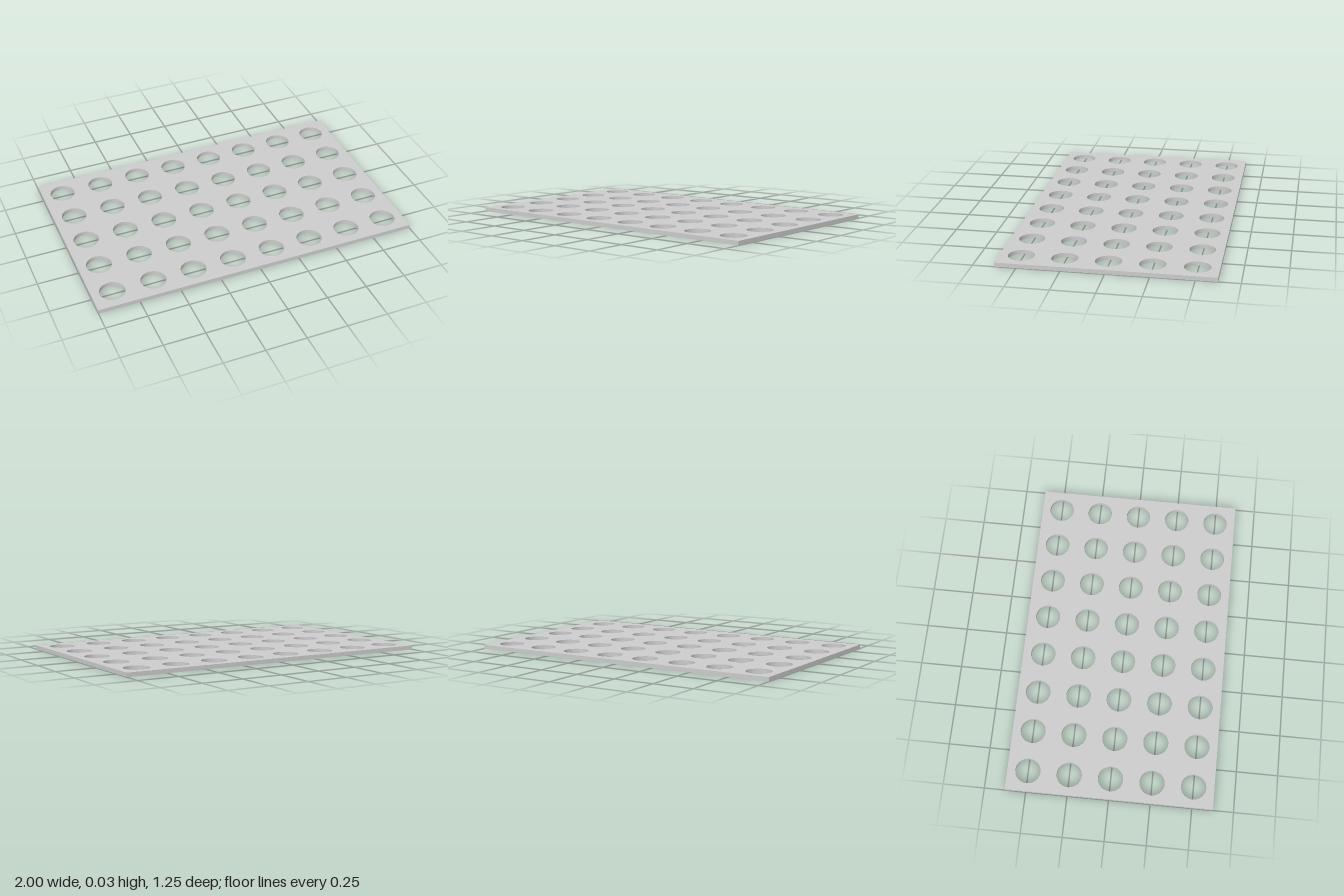
import * as THREE from 'three';
import { toCreasedNormals } from 'three/addons/utils/BufferGeometryUtils.js';

const WIDTH = 2, DEPTH = 1.25, THICKNESS = 0.025;
const COLUMNS = 8, ROWS = 5, PITCH = 0.25, HOLE_RADIUS = 0.076;

export function createModel() {
  const group = new THREE.Group();
  group.name = 'perforatedSheet';

  // Rectangular outline of the plate
  const w = WIDTH / 2, d = DEPTH / 2;
  const outline = new THREE.Shape();
  outline.moveTo(-w, -d).lineTo(w, -d).lineTo(w, d).lineTo(-w, d).closePath();

  // Regular grid of round through-holes
  for (let row = 0; row < ROWS; row++) {
    for (let col = 0; col < COLUMNS; col++) {
      const x = (col - (COLUMNS - 1) / 2) * PITCH;
      const y = (row - (ROWS - 1) / 2) * PITCH;
      outline.holes.push(new THREE.Path().absarc(x, y, HOLE_RADIUS, 0, Math.PI * 2, true));
    }
  }

  // Extrude, then lay flat on the ground with smooth hole walls and sharp rims
  const plate = new THREE.ExtrudeGeometry(outline, {
    depth: THICKNESS, bevelEnabled: false, curveSegments: 24,
  });
  plate.rotateX(-Math.PI / 2);

  const mesh = new THREE.Mesh(
    toCreasedNormals(plate, 0.5),
    new THREE.MeshStandardMaterial({ color: 0xcccccc }),
  );
  mesh.name = 'plate';
  group.add(mesh);
  return group;
}
